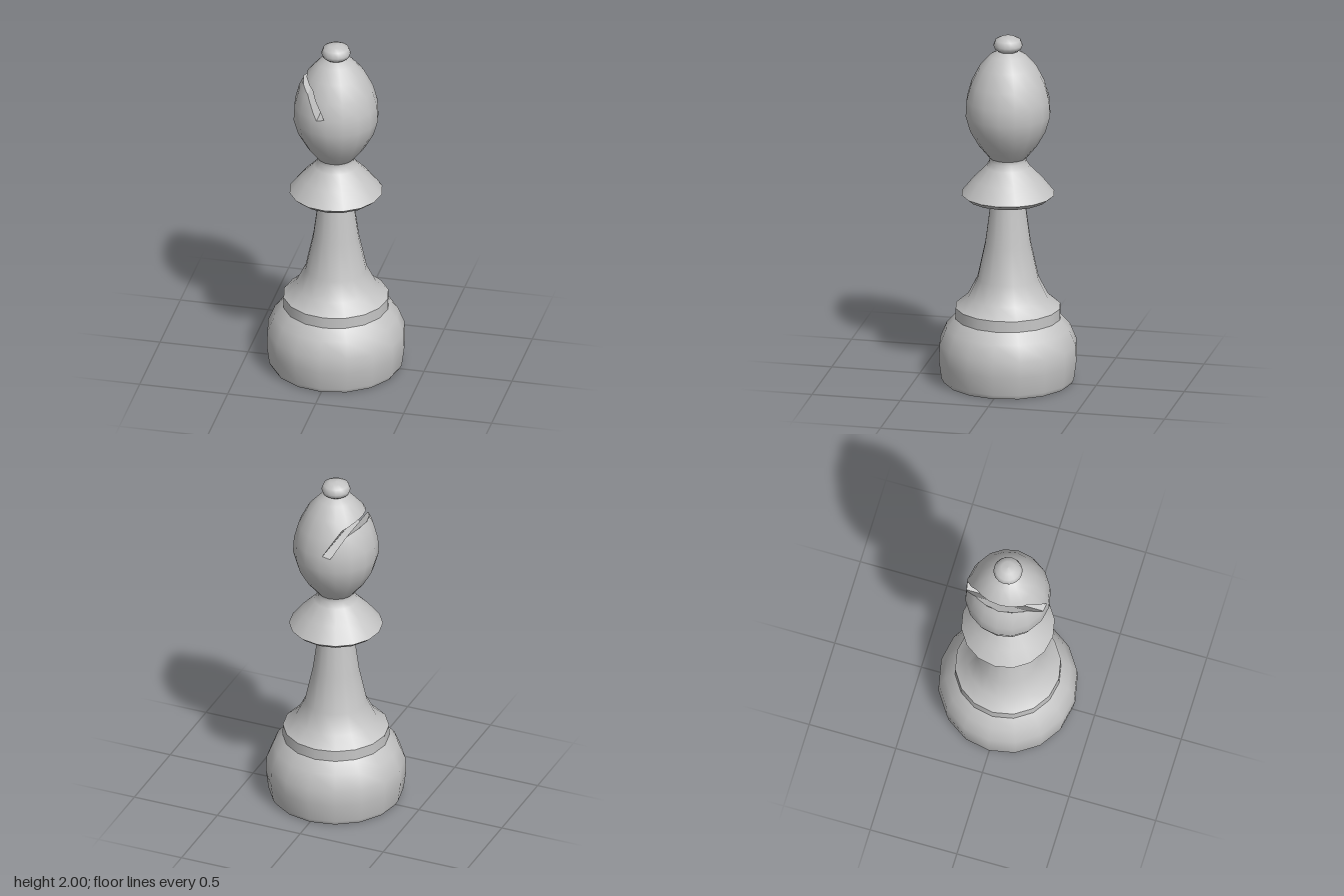
import * as THREE from 'three';

const SIDES = 16;
const stone = new THREE.MeshStandardMaterial({ color: 0xc4c4c4 });
stone.name = 'grey stone';

// Turned parts as [radius, height] profiles, from the bottom up
const turned = {
  footUnderside: [[0, 0], [0.36, 0]],
  base: [[0.36, 0], [0.374, 0.025], [0.388, 0.13], [0.385, 0.22], [0.348, 0.31], [0.296, 0.368]],
  baseBand: [[0.296, 0.368], [0.294, 0.43]],
  stem: [[0.294, 0.43], [0.225, 0.49], [0.172, 0.595], [0.128, 0.8], [0.097, 1.035], [0.093, 1.05]],
  collarUnderside: [[0.08, 1.042], [0.228, 1.06], [0.26, 1.087]],
  collar: [[0.26, 1.087], [0.192, 1.172], [0.122, 1.243], [0.103, 1.275], [0.104, 1.297]],
  knob: [[0.05, 1.912], [0.073, 1.928], [0.081, 1.95], [0.07, 1.98], [0.038, 1.996], [0, 2]],
};
const headProfile = [[0.104, 1.297], [0.164, 1.37], [0.213, 1.457], [0.238, 1.545], [0.233, 1.635],
  [0.208, 1.728], [0.158, 1.825], [0.1, 1.89], [0.05, 1.918]];

// Bent slot through the head, as two convex pieces seen along z, counter-clockwise
const slotPieces = [
  [[-0.285, 1.832], [-0.127, 1.75], [-0.1, 1.78], [-0.26, 1.873]],
  [[-0.127, 1.75], [-0.06, 1.627], [-0.016, 1.64], [-0.1, 1.78]],
];
const slotOutline = [[-0.285, 1.832], [-0.127, 1.75], [-0.06, 1.627], [-0.016, 1.64], [-0.1, 1.78], [-0.26, 1.873]];

const lathe = (profile) => new THREE.LatheGeometry(profile.map(([r, y]) => new THREE.Vector2(r, y)), SIDES);

// Splits a polygon of {p, n} corners by the line a-b; left is the slot side
function split(poly, a, b) {
  const side = ({ p }) => (b[0] - a[0]) * (p.y - a[1]) - (b[1] - a[1]) * (p.x - a[0]);
  const left = [], right = [];
  poly.forEach((v, i) => {
    const w = poly[(i + 1) % poly.length];
    const s = side(v), t = side(w);
    (s >= 0 ? left : right).push(v);
    if ((s >= 0) !== (t >= 0)) {
      const k = s / (s - t);
      const cut = { p: v.p.clone().lerp(w.p, k), n: v.n.clone().lerp(w.n, k).normalize() };
      left.push(cut);
      right.push(cut);
    }
  });
  return [left, right];
}

// Parts of a polygon outside one convex slot piece
function outside(poly, piece) {
  const kept = [];
  let rest = poly;
  piece.forEach((a, i) => {
    if (rest.length < 3) return;
    const [inner, outer] = split(rest, a, piece[(i + 1) % piece.length]);
    if (outer.length > 2) kept.push(outer);
    rest = inner;
  });
  return rest.length < 3 ? [poly] : kept;
}

function slottedHead() {
  const src = lathe(headProfile).toNonIndexed();
  const pos = src.attributes.position, nor = src.attributes.normal;
  const positions = [], normals = [];
  for (let i = 0; i < pos.count; i += 3) {
    let polys = [[0, 1, 2].map((j) => ({
      p: new THREE.Vector3().fromBufferAttribute(pos, i + j),
      n: new THREE.Vector3().fromBufferAttribute(nor, i + j),
    }))];
    for (const piece of slotPieces) polys = polys.flatMap((poly) => outside(poly, piece));
    for (const poly of polys) {
      for (let k = 1; k < poly.length - 1; k++) {
        for (const v of [poly[0], poly[k], poly[k + 1]]) {
          positions.push(...v.p.toArray());
          normals.push(...v.n.toArray());
        }
      }
    }
  }
  const geo = new THREE.BufferGeometry();
  geo.setAttribute('position', new THREE.Float32BufferAttribute(positions, 3));
  geo.setAttribute('normal', new THREE.Float32BufferAttribute(normals, 3));
  return geo;
}

// Half the depth of the faceted head along z at a point (x, y)
function halfDepth(x, y) {
  const j = headProfile.findIndex((q) => q[1] >= y);
  if (j < 1) return 0;
  const [r0, y0] = headProfile[j - 1], [r1, y1] = headProfile[j];
  const r = r0 + (r1 - r0) * (y - y0) / (y1 - y0);
  const u = Math.abs(x) / r;
  if (u >= 1) return 0;
  const step = Math.PI * 2 / SIDES;
  const a = Math.floor(Math.asin(u) / step) * step, b = a + step;
  const k = (u - Math.sin(a)) / (Math.sin(b) - Math.sin(a));
  return r * (Math.cos(a) + (Math.cos(b) - Math.cos(a)) * k);
}

// Walls of the slot, running front to back and facing into the gap
function slotWalls() {
  const positions = [], STEPS = 16;
  for (let e = 0; e < slotOutline.length - 1; e++) {
    const [a, b] = [slotOutline[e], slotOutline[e + 1]];
    const at = (t) => {
      const x = a[0] + (b[0] - a[0]) * t, y = a[1] + (b[1] - a[1]) * t;
      return [x, y, halfDepth(x, y)];
    };
    for (let i = 0; i < STEPS; i++) {
      const [x0, y0, d0] = at(i / STEPS), [x1, y1, d1] = at((i + 1) / STEPS);
      if (d0 + d1 === 0) continue;
      positions.push(x0, y0, -d0, x0, y0, d0, x1, y1, d1, x0, y0, -d0, x1, y1, d1, x1, y1, -d1);
    }
  }
  const geo = new THREE.BufferGeometry();
  geo.setAttribute('position', new THREE.Float32BufferAttribute(positions, 3));
  geo.computeVertexNormals();
  return geo;
}

export function createModel() {
  const model = new THREE.Group();
  model.name = 'chessBishop';
  const add = (name, geometry) => {
    const mesh = new THREE.Mesh(geometry, stone);
    mesh.name = name;
    model.add(mesh);
  };
  for (const [name, profile] of Object.entries(turned)) add(name, lathe(profile));
  add('head', slottedHead());
  add('headSlot', slotWalls());
  return model;
}
